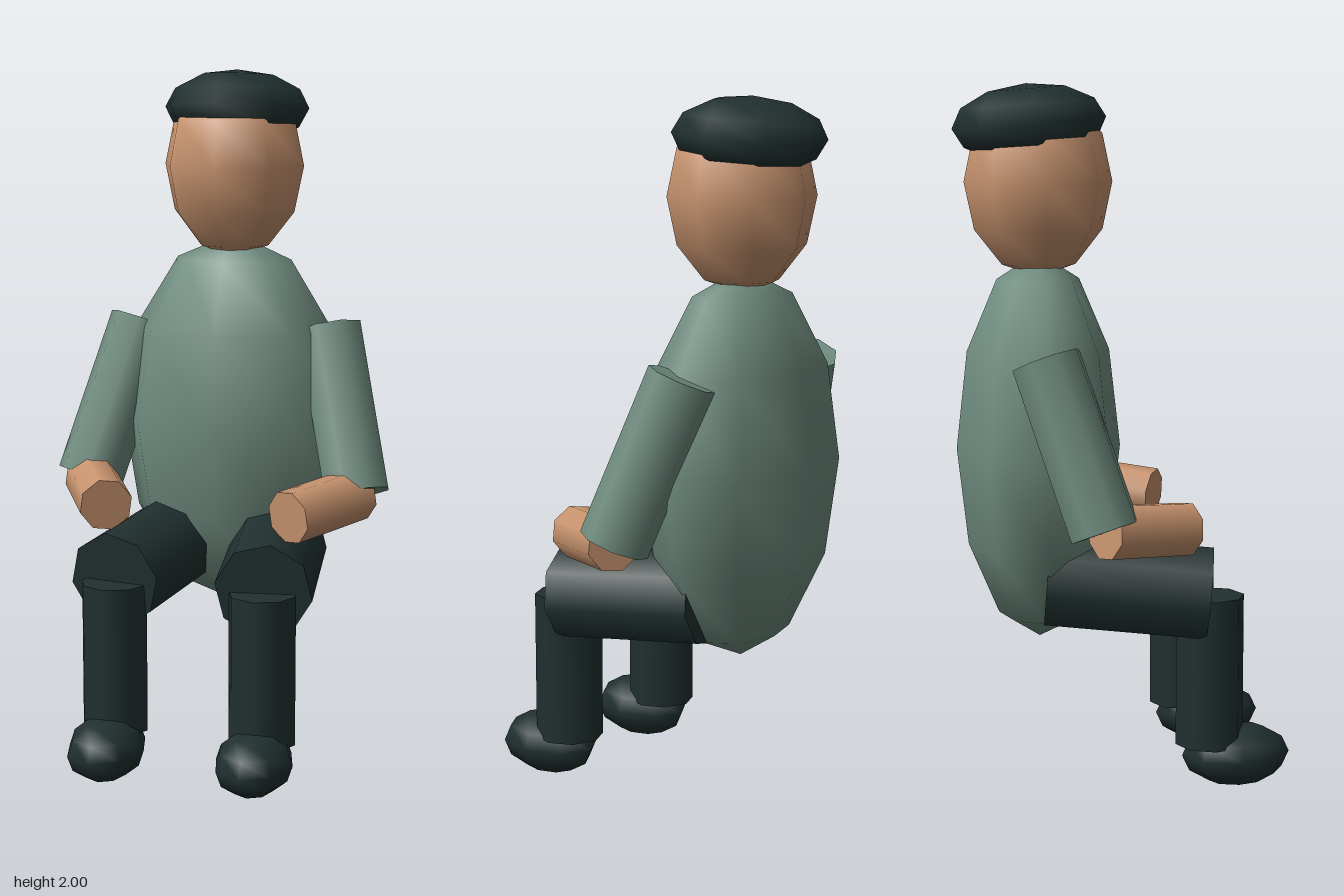
import * as THREE from 'three';

const flat = (name, color) => {
  const m = new THREE.MeshStandardMaterial({ color });
  m.name = name;
  return m;
};

export function createModel() {
  const green = flat('sage green', 0x6f8c7f);
  const skin = flat('skin', 0xc8946f);
  const dark = flat('dark slate', 0x213030);
  const model = new THREE.Group();
  model.name = 'seatedFigure';

  // Low-poly ellipsoid with smooth normals
  function ellipsoid(name, material, centre, radii, parent = model) {
    const mesh = new THREE.Mesh(new THREE.SphereGeometry(1, 8, 6), material);
    mesh.name = name;
    mesh.position.set(...centre);
    mesh.scale.set(...radii);
    parent.add(mesh);
    return mesh;
  }

  // Eight-sided limb between two points
  function limb(name, material, from, to, radius, parent) {
    const a = new THREE.Vector3(...from);
    const dir = new THREE.Vector3(...to).sub(a);
    const length = dir.length();
    const mesh = new THREE.Mesh(new THREE.CylinderGeometry(radius, radius, length, 8), material);
    mesh.name = name;
    mesh.position.copy(a).addScaledVector(dir, 0.5);
    mesh.quaternion.setFromUnitVectors(new THREE.Vector3(0, 1, 0), dir.normalize());
    parent.add(mesh);
  }

  // Body, head and cap tipped slightly back
  ellipsoid('torso', green, [0, 0.965, -0.228], [0.35, 0.56, 0.237]);
  ellipsoid('head', skin, [0, 1.725, -0.225], [0.212, 0.27, 0.212]);
  ellipsoid('cap', dark, [0, 1.89, -0.25], [0.22, 0.11, 0.22]).rotation.x = -0.08;

  // Arms and legs, one set per side
  for (const [side, s] of [['left', 1], ['right', -1]]) {
    const arm = new THREE.Group();
    arm.name = side + 'Arm';
    limb('sleeve', green, [s * 0.29, 1.25, -0.24], [s * 0.412, 0.79, -0.095], 0.1, arm);
    limb('forearm', skin, [s * 0.412, 0.79, -0.095], [s * 0.272, 0.765, 0.155], 0.078, arm);

    const leg = new THREE.Group();
    leg.name = side + 'Leg';
    limb('thigh', dark, [s * 0.15, 0.605, -0.22], [s * 0.222, 0.565, 0.232], 0.14, leg);
    limb('shin', dark, [s * 0.22, 0.56, 0.235], [s * 0.22, 0.125, 0.235], 0.098, leg);
    ellipsoid('shoe', dark, [s * 0.22, 0.09, 0.313], [0.112, 0.09, 0.157], leg);
    model.add(arm, leg);
  }
  return model;
}
